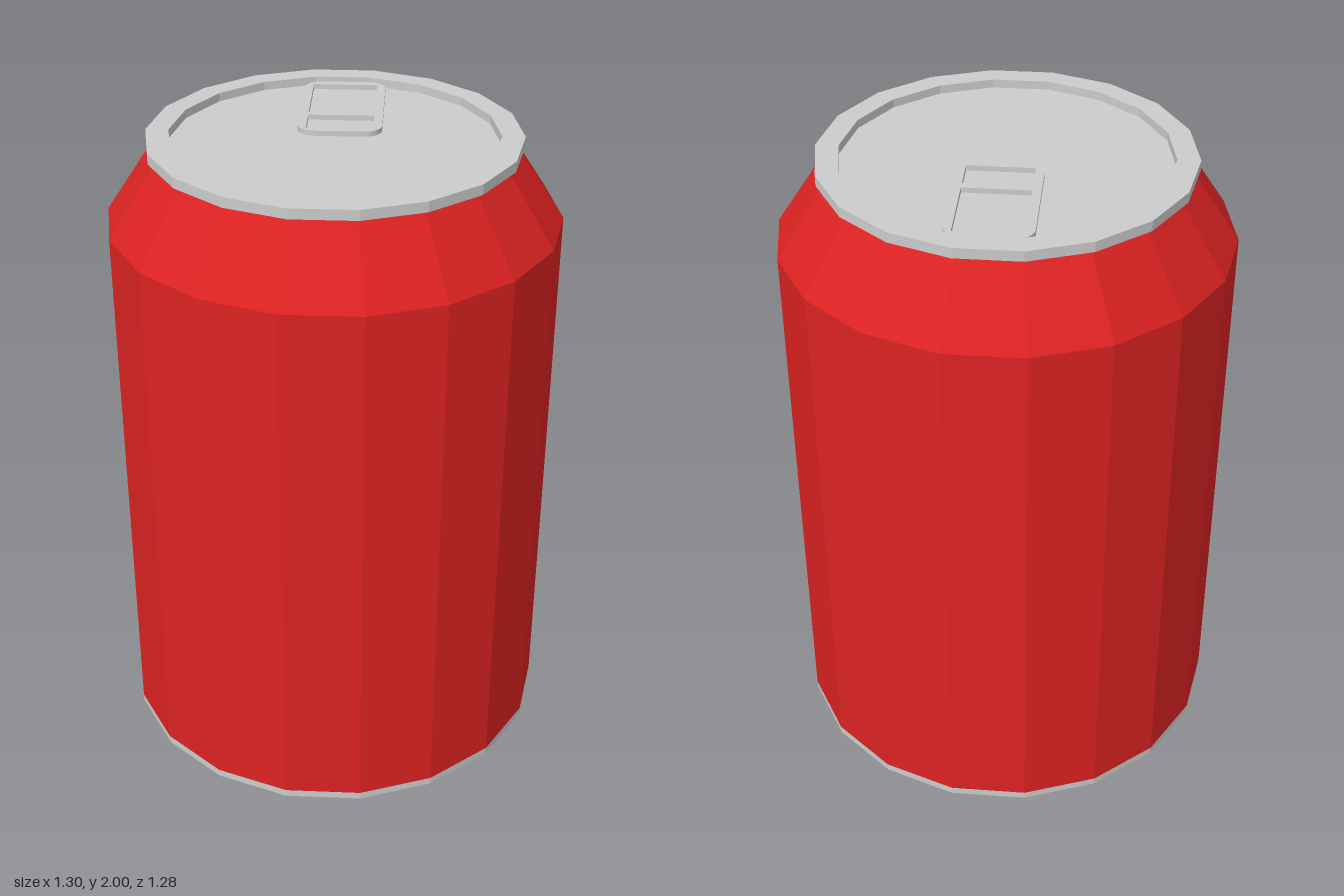
import * as THREE from 'three';

const SIDES = 18;
const silver = new THREE.MeshStandardMaterial({ color: 0xcccccc, flatShading: true });
const red = new THREE.MeshStandardMaterial({ color: 0xdd2222, flatShading: true });

// Faceted ring of a [radius, height] profile, listed from the bottom up the outside
function turned(name, profile, material) {
  const points = profile.map(([r, y]) => new THREE.Vector2(r, y));
  // start on the x axis so a corner lies on +x and -x
  const mesh = new THREE.Mesh(new THREE.LatheGeometry(points, SIDES, Math.PI / 2), material);
  mesh.name = name;
  return mesh;
}

function roundedRect(x0, y0, x1, y1, r) {
  const s = new THREE.Shape();
  s.absarc(x1 - r, y0 + r, r, -Math.PI / 2, 0);
  s.absarc(x1 - r, y1 - r, r, 0, Math.PI / 2);
  s.absarc(x0 + r, y1 - r, r, Math.PI / 2, Math.PI);
  s.absarc(x0 + r, y0 + r, r, Math.PI, Math.PI * 1.5);
  s.closePath();
  return s;
}

function rectHole(x0, y0, x1, y1) {
  return new THREE.Path([[x0, y0], [x0, y1], [x1, y1], [x1, y0]].map(p => new THREE.Vector2(...p)));
}

// Pull tab: a rounded plate with two windows, lying on the lid
function makePullTab(floorY) {
  const shape = roundedRect(-0.11, 0.04, 0.13, 0.445, 0.05);
  shape.holes.push(rectHole(-0.085, 0.19, 0.105, 0.42), rectHole(-0.085, 0.065, 0.105, 0.165));
  const geometry = new THREE.ExtrudeGeometry(shape, { depth: 0.015, bevelEnabled: false, curveSegments: 4 });
  geometry.rotateX(-Math.PI / 2); // shape's y becomes -z, depth becomes height
  const tab = new THREE.Mesh(geometry, silver);
  tab.name = 'pullTab';
  tab.position.y = floorY;
  return tab;
}

export function createModel() {
  const can = new THREE.Group();
  can.name = 'drinkCan';
  const floorY = 1.975;

  // flat foot, small fillet, sloping underside and lower band
  can.add(turned('base', [
    [0, 0], [0.44, 0], [0.44, 0.02], [0.446, 0.034], [0.465, 0.042], [0.65, 0.115], [0.65, 0.138],
  ], silver));

  // painted wall and tapering neck
  can.add(turned('body', [[0.65, 0.138], [0.65, 1.76], [0.51, 1.97]], red));

  // overhanging rim with a recessed lid
  can.add(turned('rimAndLid', [
    [0.5, 1.97], [0.53, 1.97], [0.53, 2], [0.465, 2], [0.465, floorY], [0, floorY],
  ], silver));

  can.add(makePullTab(floorY));
  return can;
}
